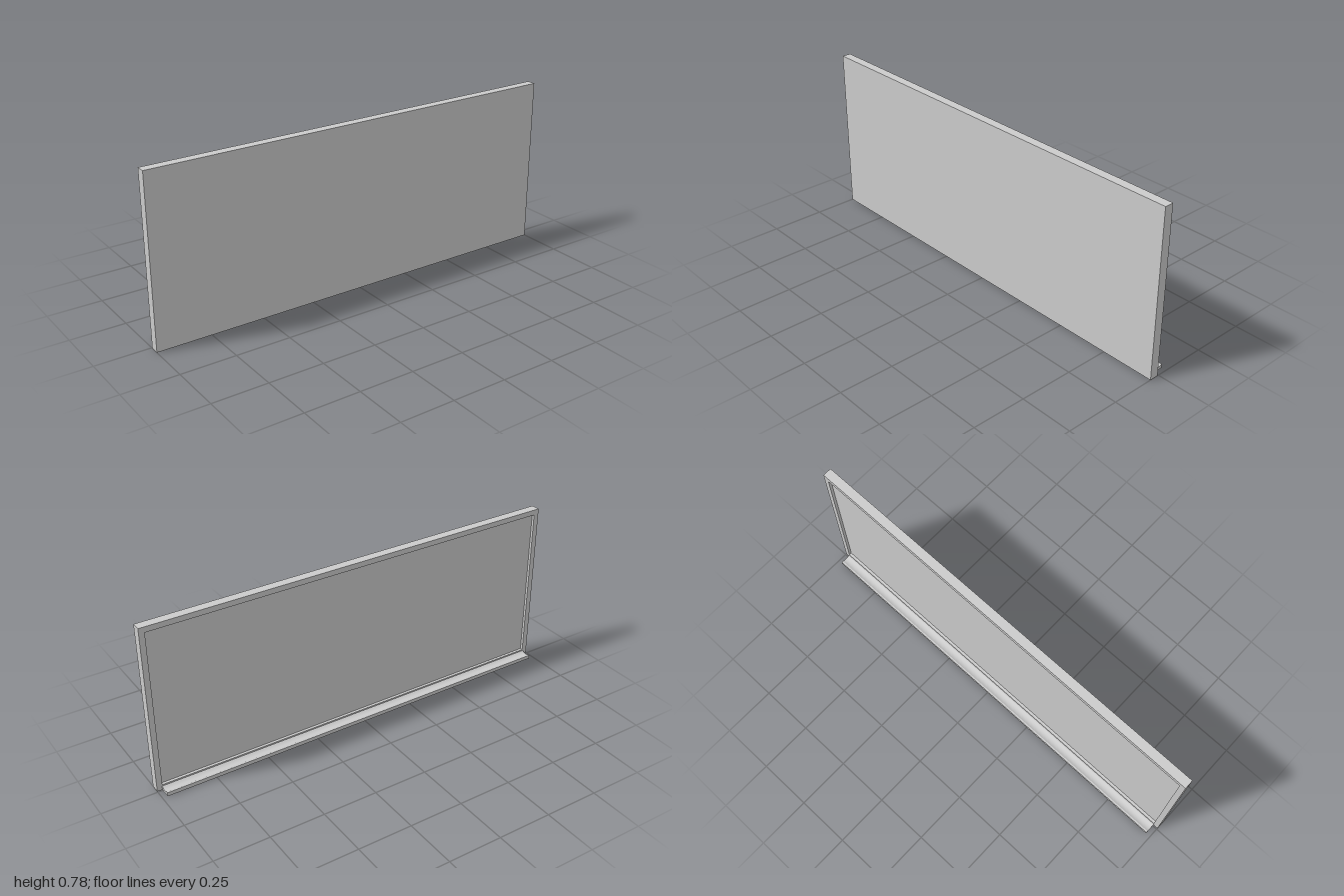
import * as THREE from 'three';

const W = 2, H = 0.78, FRONT = 0.047, BACK = 0.005;
const RIM = 0.025, RECESS = 0.013, TRAY_HALF = 0.977;

export function createModel() {
  const group = new THREE.Group();
  const material = new THREE.MeshStandardMaterial({ color: 0xcccccc });
  const add = (name, geometry) => {
    const mesh = new THREE.Mesh(geometry, material);
    mesh.name = name;
    group.add(mesh);
    return mesh;
  };

  // Solid board, full size, its writing face set in from the rim
  const boardDepth = FRONT - BACK - RECESS;
  add('board', new THREE.BoxGeometry(W, H, boardDepth))
    .position.set(0, H / 2, FRONT - boardDepth / 2);

  // Raised rim around the writing face
  const rim = new THREE.Shape([
    new THREE.Vector2(-W / 2, 0), new THREE.Vector2(W / 2, 0),
    new THREE.Vector2(W / 2, H), new THREE.Vector2(-W / 2, H),
  ]);
  rim.holes.push(new THREE.Path([
    new THREE.Vector2(-W / 2 + RIM, RIM), new THREE.Vector2(-W / 2 + RIM, H - RIM),
    new THREE.Vector2(W / 2 - RIM, H - RIM), new THREE.Vector2(W / 2 - RIM, RIM),
  ]));
  add('frame', new THREE.ExtrudeGeometry(rim, { depth: RECESS, bevelEnabled: false }))
    .position.z = BACK;

  // Pen tray: a ledge profile with a scooped top (shape x runs backwards from the frame)
  const tray = new THREE.Shape();
  tray.moveTo(0, 0);
  tray.lineTo(0.052, 0);
  tray.lineTo(0.052, 0.018);
  tray.lineTo(0.044, 0.018);
  tray.quadraticCurveTo(0.025, 0.006, 0.006, 0.018);
  tray.lineTo(0, 0.018);
  tray.closePath();
  const trayGeometry = new THREE.ExtrudeGeometry(tray, {
    depth: TRAY_HALF * 2, bevelEnabled: false, curveSegments: 10,
  });
  trayGeometry.rotateY(Math.PI / 2);
  add('penTray', trayGeometry).position.set(-TRAY_HALF, 0, BACK);

  return group;
}
